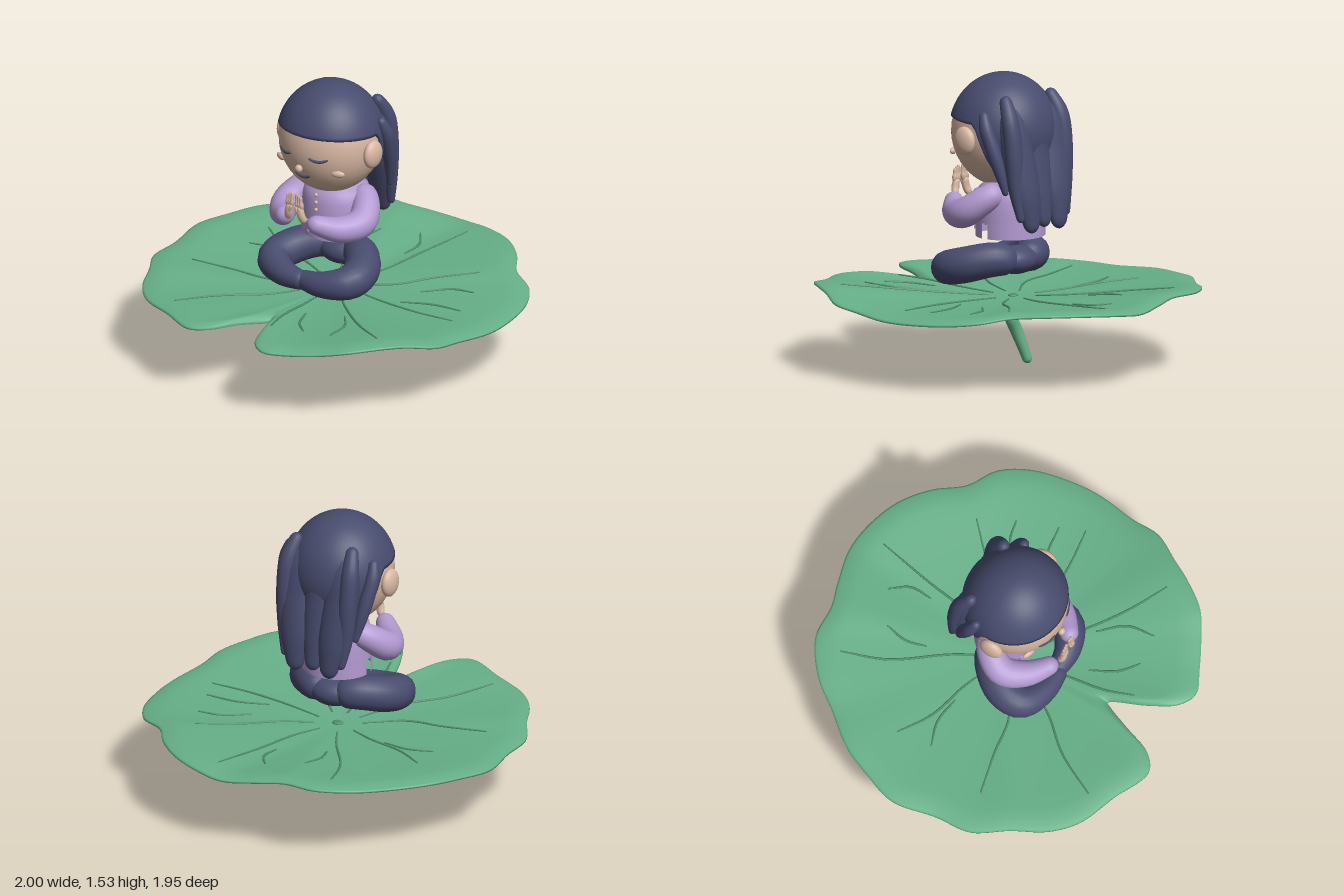
import * as THREE from 'three';

const V = (p) => new THREE.Vector3(...p);
const colour = (name, hex, side = THREE.FrontSide) => {
  const m = new THREE.MeshStandardMaterial({ color: hex, side });
  m.name = name;
  return m;
};

// Closed skin over rows of points; each row wraps around
function skin(rows) {
  const n = rows[0].length, pos = [], idx = [];
  rows.forEach((row) => row.forEach((p) => pos.push(p.x, p.y, p.z)));
  for (let i = 0; i < rows.length - 1; i++) {
    for (let j = 0; j < n; j++) {
      const a = i * n + j, b = i * n + (j + 1) % n;
      idx.push(a, b, b + n, a, b + n, a + n);
    }
  }
  const g = new THREE.BufferGeometry();
  g.setAttribute('position', new THREE.Float32BufferAttribute(pos, 3));
  g.setIndex(idx);
  g.computeVertexNormals();
  return g;
}

// Round-ended tube whose radius changes along its path; flat squeezes it in z
function limb(points, radii, rowsN = 28, sides = 16, flat = 1) {
  const curve = new THREE.CatmullRomCurve3(points.map(V));
  const radius = new THREE.CatmullRomCurve3(radii.map((r) => V([r, 0, 0])));
  const len = curve.getLength(), rows = [];
  const frames = curve.computeFrenetFrames(200);
  for (let i = 0; i <= rowsN; i++) {
    const u = (1 - Math.cos((Math.PI * i) / rowsN)) / 2;
    const f = Math.round(u * 200), c = curve.getPointAt(u);
    let r = radius.getPoint(curve.getUtoTmapping(u)).x;
    const d = Math.min(u, 1 - u) * len;
    const e = u < 0.5 ? radii[0] : radii[radii.length - 1];
    if (d < e) r *= Math.sqrt(1 - (1 - d / e) ** 2);
    r = Math.max(r, 0.0005);
    rows.push(Array.from({ length: sides }, (_, j) => {
      const a = (j / sides) * Math.PI * 2;
      const off = frames.normals[f].clone().multiplyScalar(r * Math.cos(a))
        .addScaledVector(frames.binormals[f], r * Math.sin(a));
      off.z *= flat;
      return off.add(c);
    }));
  }
  return skin(rows);
}

export function createModel() {
  const leafGreen = colour('leaf green', 0x66b088);
  const veinGreen = colour('vein green', 0x4f8f6c);
  const navy = colour('navy', 0x484c6e, THREE.DoubleSide);
  const skinTone = colour('skin', 0xd9b8a4);
  const lilac = colour('lilac', 0xb39ad2, THREE.DoubleSide);

  const model = new THREE.Group();
  const figure = new THREE.Group();
  figure.name = 'figure';
  figure.position.x = 0.01;
  model.add(figure);
  const add = (name, geo, mat, parent = figure) => {
    const m = new THREE.Mesh(geo, mat);
    m.name = name;
    parent.add(m);
    return m;
  };
  const ball = (name, mat, p, r, parent = figure) => {
    const m = add(name, new THREE.SphereGeometry(1, 32, 20), mat, parent);
    m.position.set(...p);
    m.scale.set(...r);
    return m;
  };
  const mirror = (pts, s) => pts.map(([x, y, z]) => [x * s, y, z]);

  // Leaf outline with rim heights, starting at the notch
  const rim = new THREE.CatmullRomCurve3([
    [0.03, 0.39, 0.59], [0.11, 0.41, 0.78], [0.19, 0.42, 0.92], [0.285, 0.42, 0.97], [0.41, 0.42, 0.92],
    [0.57, 0.435, 0.84], [0.69, 0.455, 0.765], [0.795, 0.46, 0.63], [0.86, 0.45, 0.52], [0.95, 0.42, 0.37],
    [0.965, 0.4, 0.21], [1, 0.385, 0], [0.995, 0.385, -0.16], [0.945, 0.395, -0.38], [0.85, 0.41, -0.53],
    [0.695, 0.43, -0.625], [0.58, 0.44, -0.77], [0.43, 0.44, -0.89], [0.25, 0.43, -0.96], [0.09, 0.42, -0.98],
    [-0.1, 0.44, -0.94], [-0.24, 0.455, -0.9], [-0.42, 0.455, -0.89], [-0.6, 0.445, -0.775], [-0.725, 0.43, -0.62],
    [-0.86, 0.43, -0.46], [-0.94, 0.42, -0.29], [-1, 0.41, -0.11], [-0.96, 0.4, 0.13], [-0.945, 0.4, 0.325],
    [-0.84, 0.41, 0.5], [-0.745, 0.405, 0.675], [-0.62, 0.405, 0.795], [-0.42, 0.415, 0.88], [-0.21, 0.42, 0.97],
    [-0.12, 0.42, 0.91], [-0.05, 0.41, 0.75], [0.01, 0.39, 0.62],
  ].map(V), true).getPoints(228).slice(0, -1);
  const topY = (t, h) => 0.36 + (h - 0.36) * t ** 1.6 - 0.025 * Math.max(0, (t - 0.88) / 0.12) ** 2;
  const underY = (t, h) => 0.3 + (h - 0.335) * t ** 1.6;
  const ring = (t, f) => rim.map((p) => new THREE.Vector3(p.x * t, f(t, p.y), p.z * t));
  const steps = [0.001, 0.1, 0.2, 0.3, 0.4, 0.5, 0.6, 0.7, 0.8, 0.88, 0.93, 0.97, 0.99, 1];
  const top = steps.map((t) => ring(t, topY));
  const under = steps.map((t) => ring(t, underY));
  add('leaf', skin([...under, ...top.reverse()]), leafGreen, model);

  // Veins lying on the leaf
  const onLeaf = ([x, z]) => {
    const r = Math.hypot(x, z);
    const p = rim.reduce((a, b) =>
      ((b.x * x + b.z * z) / Math.hypot(b.x, b.z) > (a.x * x + a.z * z) / Math.hypot(a.x, a.z) ? b : a));
    return new THREE.Vector3(x, topY(r / Math.hypot(p.x, p.z), p.y) + 0.002, z);
  };
  [
    [[-0.43, -0.74], [-0.34, -0.51], [-0.15, -0.25], [-0.06, -0.1]], [[-0.18, -0.6], [-0.2, -0.48], [-0.17, -0.37]],
    [[0, -0.7], [0.07, -0.6], [0.07, -0.48]], [[0.2, -0.84], [0.14, -0.53], [0.1, -0.28], [0.04, -0.11]],
    [[0.56, -0.49], [0.38, -0.32], [0.25, -0.16], [0.1, -0.06]], [[0.66, -0.31], [0.54, -0.28], [0.42, -0.17]],
    [[0.74, -0.1], [0.57, -0.08], [0.41, -0.01]], [[0.79, 0.03], [0.57, 0.05], [0.33, 0.04], [0.12, 0.01]],
    [[0.71, 0.56], [0.49, 0.43], [0.25, 0.24], [0.09, 0.09]], [[0.45, 0.63], [0.43, 0.48], [0.33, 0.35]],
    [[0.29, 0.64], [0.2, 0.56], [0.13, 0.42]], [[0.12, 0.7], [0.07, 0.54], [0.05, 0.36], [0.02, 0.12]],
    [[-0.47, 0.76], [-0.34, 0.53], [-0.17, 0.34], [-0.06, 0.11]], [[-0.74, 0.27], [-0.5, 0.22], [-0.3, 0.19], [-0.11, 0.06]],
    [[-0.66, -0.27], [-0.48, -0.16], [-0.27, -0.1], [-0.12, -0.04]], [[-0.64, -0.08], [-0.5, -0.12], [-0.35, -0.1]],
  ].forEach((v) => {
    const flat = new THREE.CatmullRomCurve3(v.map(([x, z]) => V([x, 0, z]))).getPoints(12);
    add('leafVein', limb(flat.map((p) => onLeaf([p.x, p.z]).toArray()),
      flat.map((_, i) => 0.004 + 0.003 * Math.sin((i / 12) * Math.PI)), 24, 6), veinGreen, model);
  });

  // Stem
  add('stem', limb([[0.02, 0.335, 0.03], [0.02, 0.3, 0.025], [0.01, 0.27, 0.02], [0, 0.24, 0.015], [-0.03, 0.18, 0.01],
    [-0.06, 0.09, -0.01], [-0.085, 0, -0.03]], [0.04, 0.05, 0.022, 0.034, 0.033, 0.029, 0.024], 40), leafGreen, model);
  ball('leafCentre', veinGreen, [0, 0.362, 0], [0.03, 0.01, 0.026], model);

  // Crossed legs
  ball('hips', navy, [0, 0.555, -0.03], [0.13, 0.075, 0.1]);
  for (const s of [-1, 1]) {
    add('leg', limb(mirror([[0.03, 0.55, -0.06], [0.14, 0.57, -0.01], [0.24, 0.54, 0.11], [0.245, 0.515, 0.22],
      [0.13, 0.495, 0.29], [-0.04, 0.49, 0.3 - s * 0.01]], s), [0.07, 0.09, 0.095, 0.09, 0.07, 0.045], 36, 20), navy);
  }

  // Jacket with a slit on each side of the hem
  const lathe = (name, pts, start, length) => {
    const m = add(name, new THREE.LatheGeometry(pts.map((p) => new THREE.Vector2(...p)), 40, start, length), lilac);
    m.scale.z = 0.93;
    m.position.z = 0.01;
  };
  const hem = [[0.187, 0.68], [0.187, 0.72], [0.186, 0.76]];
  lathe('jacketBody', [[0.186, 0.76], [0.186, 0.82], [0.182, 0.88], [0.17, 0.935], [0.13, 0.97], [0.07, 0.98]], 0, Math.PI * 2);
  lathe('jacketHemFront', hem, -Math.PI / 2 + 0.18, Math.PI - 0.36);
  lathe('jacketHemBack', hem, Math.PI / 2 + 0.06, Math.PI - 0.12);
  for (let i = 0; i < 6; i++) ball('button', skinTone, [0, 0.72 + i * 0.042, 0.184], [0.01, 0.01, 0.009]);

  for (const s of [-1, 1]) {
    // Pocket with a flap
    for (const [name, y, h] of [['pocket', 0.735, 0.05], ['pocketFlap', 0.768, 0.012]]) {
      const p = add(name, new THREE.BoxGeometry(0.08, h, 0.009), lilac);
      p.position.set(s * 0.085, y, 0.167);
      p.rotation.y = s * 0.45;
    }
    // Sleeve
    add('sleeve', limb(mirror([[0.12, 0.935, -0.04], [0.2, 0.88, 0.02], [0.24, 0.815, 0.11], [0.19, 0.8, 0.22],
      [0.07, 0.85, 0.345]], s), [0.06, 0.072, 0.078, 0.07, 0.042], 36, 20), lilac);
    // Hand with upright fingers
    add('palm', limb(mirror([[0.055, 0.845, 0.345], [0.042, 0.885, 0.36], [0.03, 0.94, 0.36]], s),
      [0.02, 0.023, 0.02], 16, 12, 0.8), skinTone);
    for (let i = 0; i < 3; i++) {
      const x = 0.016 + i * 0.013;
      add('finger', limb(mirror([[x + 0.006, 0.92, 0.36], [x, 0.96, 0.363], [x, 1.008 - i * 0.008, 0.363]], s),
        [0.009, 0.009, 0.008], 12, 8), skinTone);
    }
    add('thumb', limb(mirror([[0.04, 0.88, 0.363], [0.024, 0.91, 0.37], [0.014, 0.935, 0.37]], s),
      [0.01, 0.009, 0.008], 12, 8), skinTone);
  }

  // Head, ears and face
  const C = [0, 1.225, 0.058], R = [0.274, 0.294, 0.27];
  ball('head', skinTone, C, R);
  const onFace = (x, y) => V([x, y, C[2] + R[2] * Math.sqrt(1 - (x / R[0]) ** 2 - ((y - C[1]) / R[1]) ** 2)]);
  const arc = (name, cx, cy, w, dip) => {
    const pts = Array.from({ length: 9 }, (_, i) => {
      const k = i / 4 - 1;
      return onFace(cx + k * w, cy - dip * (1 - k * k)).toArray();
    });
    add(name, limb(pts, pts.map((_, i) => 0.0055 + 0.003 * Math.sin((i / 8) * Math.PI)), 20, 8), navy);
  };
  arc('mouth', 0, 1.09, 0.047, 0.018);
  ball('nose', skinTone, [0, 1.13, 0.328], [0.021, 0.021, 0.018]);
  for (const s of [-1, 1]) {
    arc('closedEye', s * 0.107, 1.202, 0.048, 0.014);
    ball('ear', skinTone, [s * 0.285, 1.2, 0.07], [0.036, 0.076, 0.066]);
    const cheek = onFace(s * 0.188, 1.118);
    ball('cheek', skinTone, [cheek.x, cheek.y, cheek.z + 0.01], [0.036, 0.018, 0.014]).rotation.y = s * 0.4;
  }

  // Hair cap: high hairline in front, low at the back
  const H = [0.284, 0.304, 0.282], capRows = [];
  for (let i = 0; i <= 24; i++) {
    capRows.push(Array.from({ length: 64 }, (_, j) => {
      const a = (j / 64) * Math.PI * 2;
      const back = THREE.MathUtils.smoothstep(-Math.cos(a), 0.1, 0.55);
      const front = Math.max(0, Math.cos(a));
      const end = Math.acos((0.065 + 0.022 * front) / H[1]) * (1 - back) + 2.2 * back;
      const th = Math.max(0.002, end * Math.min(1, i / 23)), k = i === 24 ? 0.92 : 1;
      return V([H[0] * k * Math.sin(th) * Math.sin(a), C[1] + H[1] * Math.cos(th), C[2] + H[2] * k * Math.sin(th) * Math.cos(a)]);
    }));
  }
  add('hairCap', skin(capRows.reverse()), navy);

  // Long hanging locks: a broad back mass with narrower straps over it
  const lock = (pts, w, flat) => add('hairLock', limb(pts, [0.6, 0.95, 1, 0.85, 0.4].map((k) => k * w), 30, 18, flat), navy);
  lock([[0, 1.4, -0.09], [0, 1.28, -0.15], [0, 1.1, -0.17], [0, 0.92, -0.2], [0, 0.75, -0.235]], 0.085, 0.7);
  for (const s of [-1, 1]) {
    lock(mirror([[0.09, 1.4, -0.05], [0.125, 1.28, -0.13], [0.13, 1.1, -0.17], [0.115, 0.92, -0.212], [0.1, 0.73, -0.242]], s), 0.1, 0.65);
    lock(mirror([[0.165, 1.44, -0.1], [0.19, 1.31, -0.165], [0.19, 1.14, -0.19], [0.185, 0.97, -0.2], [0.17, 0.79, -0.225]], s), 0.05, 0.9);
    lock(mirror([[0.25, 1.36, -0.03], [0.265, 1.27, -0.065], [0.255, 1.17, -0.1], [0.24, 1.07, -0.13], [0.215, 0.93, -0.16]], s), 0.038, 1);
  }
  return model;
}
